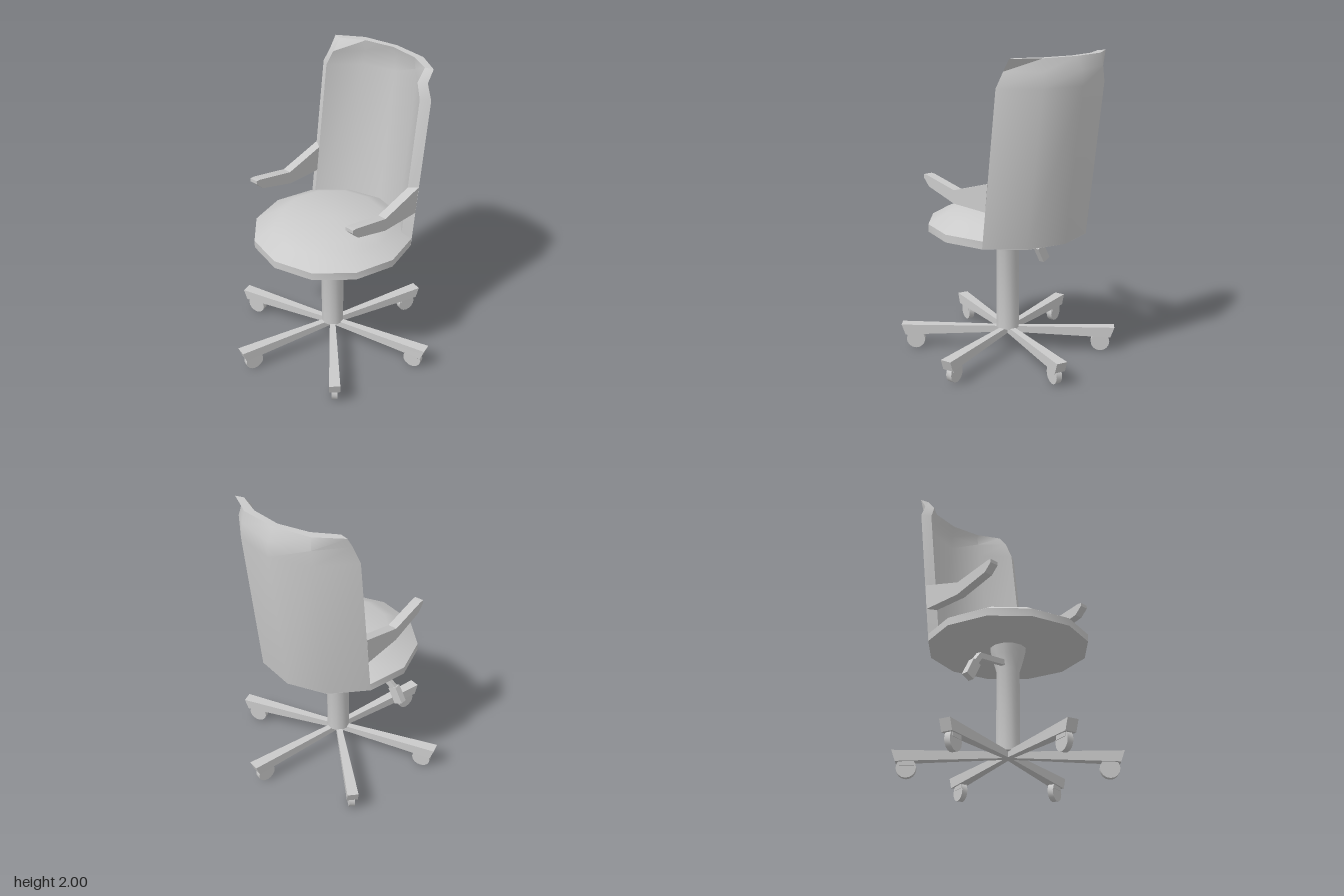
import * as THREE from 'three';
import { toCreasedNormals } from 'three/addons/utils/BufferGeometryUtils.js';

const grey = new THREE.MeshStandardMaterial({ color: 0xcacaca });
grey.name = 'light grey';

function part(name, geometry, crease = 0.75) {
  const mesh = new THREE.Mesh(toCreasedNormals(geometry, crease), grey);
  mesh.name = name;
  return mesh;
}

const lathe = (points) =>
  new THREE.LatheGeometry(points.map(([r, y]) => new THREE.Vector2(r, y)), 12);

// Rectangular bar running between two points
function bar(name, from, to, width, height) {
  const a = new THREE.Vector3(...from), b = new THREE.Vector3(...to);
  const mesh = part(name, new THREE.BoxGeometry(width, height, a.distanceTo(b)));
  mesh.position.copy(a).add(b).multiplyScalar(0.5);
  mesh.lookAt(b);
  return mesh;
}

// Curved shell lofted through closed rings; each ring gives centre, middle
// and edge points (x, z) of the outer and the inner wall
function backrestGeometry() {
  const rings = [
    { y: 0.85, outer: [[0, -0.52], [0.26, -0.45], [0.45, -0.26]], inner: [[0, -0.45], [0.225, -0.39], [0.39, -0.225]] },
    { y: 1.83, outer: [[0, -0.645], [0.26, -0.575], [0.45, -0.385]], inner: [[0, -0.575], [0.225, -0.515], [0.39, -0.35]] },
    { y: 1.925, outer: [[0, -0.635], [0.25, -0.57], [0.405, -0.4]], inner: [[0, -0.575], [0.21, -0.52], [0.35, -0.37]] },
    { y: 2, outer: [[0, -0.59], [0.24, -0.555], [0.405, -0.45]], inner: [[0, -0.55], [0.2, -0.515], [0.35, -0.434]] },
  ];
  const positions = [], index = [];
  for (const { y, outer: [oc, om, oe], inner: [ic, im, ie] } of rings) {
    const flip = ([x, z]) => [-x, z];
    const loop = [oe, om, oc, flip(om), flip(oe), flip(ie), flip(im), ic, im, ie];
    for (const [x, z] of loop) positions.push(x, y, z);
  }
  const quad = (a, b, c, d) => index.push(a, b, c, a, c, d);
  for (let j = 0; j < rings.length - 1; j++) {
    for (let i = 0; i < 10; i++) {
      const n = (i + 1) % 10, low = j * 10, high = low + 10;
      quad(low + i, low + n, high + n, high + i);
    }
  }
  // Top rim
  const top = (rings.length - 1) * 10;
  for (let i = 0; i < 4; i++) quad(top + i, top + i + 1, top + 8 - i, top + 9 - i);
  const geometry = new THREE.BufferGeometry();
  geometry.setAttribute('position', new THREE.Float32BufferAttribute(positions, 3));
  geometry.setIndex(index);
  geometry.computeVertexNormals();
  return geometry;
}

// Armrest profile (z, y), extruded across x
function armrestGeometry() {
  const profile = [
    [0.295, 1.222], [0.265, 1.222], [0, 1.17], [-0.31, 1.262], [-0.29, 1.085],
    [0, 1.085], [0.245, 1.15], [0.295, 1.2],
  ];
  const shape = new THREE.Shape(profile.map(([z, y]) => new THREE.Vector2(-z, y)));
  const geometry = new THREE.ExtrudeGeometry(shape, { depth: 0.06, bevelEnabled: false });
  geometry.translate(0, 0, -0.03);
  geometry.rotateY(Math.PI / 2);
  return geometry;
}

// Leg along +x, growing wider and deeper toward a slanted tip
function legGeometry() {
  const geometry = new THREE.BoxGeometry(1, 1, 1);
  const p = geometry.attributes.position;
  for (let i = 0; i < p.count; i++) {
    const tip = p.getX(i) > 0, upper = p.getY(i) > 0;
    p.setXYZ(
      i,
      tip ? (upper ? 0.71 : 0.685) : 0,
      tip ? (upper ? 0.17 : 0.1) : (upper ? 0.165 : 0.125),
      Math.sign(p.getZ(i)) * (tip ? 0.036 : 0.018),
    );
  }
  geometry.computeVertexNormals();
  return geometry;
}

export function createModel() {
  const chair = new THREE.Group();
  chair.name = 'officeChair';

  // Seat and backrest
  chair.add(part('seat', lathe([
    [0, 0.85], [0.52, 0.85], [0.52, 0.9], [0.41, 0.962], [0.33, 1], [0, 1],
  ])));
  chair.add(part('backrest', backrestGeometry()));

  // Armrests
  for (const side of [1, -1]) {
    const arm = part(side > 0 ? 'leftArmrest' : 'rightArmrest', armrestGeometry(), 0.2);
    arm.position.x = side * 0.42;
    chair.add(arm);
  }

  // Column with a flared top
  chair.add(part('column', lathe([
    [0, 0.16], [0.076, 0.16], [0.076, 0.7], [0.103, 0.79], [0.117, 0.85], [0, 0.85],
  ])));

  // Height lever
  const lever = new THREE.Group();
  lever.name = 'heightLever';
  lever.add(
    bar('leverRod', [-0.04, 0.737, 0.02], [-0.33, 0.682, 0.08], 0.03, 0.036),
    bar('leverBend', [-0.322, 0.69, 0.078], [-0.405, 0.595, 0.1], 0.03, 0.036),
    bar('leverPaddle', [-0.385, 0.615, 0.1], [-0.44, 0.51, 0.1], 0.045, 0.062),
  );
  chair.add(lever);

  // Six legs with casters
  for (let k = 0; k < 6; k++) {
    const leg = new THREE.Group();
    leg.name = 'legWithCaster';
    leg.add(part('leg', legGeometry(), 0.3));
    const wheel = part('wheel', new THREE.CylinderGeometry(0.062, 0.062, 0.038, 16).rotateX(Math.PI / 2));
    wheel.position.set(0.618, 0.063, 0);
    const fork = part('fork', new THREE.BoxGeometry(0.09, 0.045, 0.046));
    fork.position.set(0.615, 0.1, 0);
    leg.add(wheel, fork);
    leg.rotation.y = Math.PI / 12 + (k * Math.PI) / 3;
    chair.add(leg);
  }
  return chair;
}
